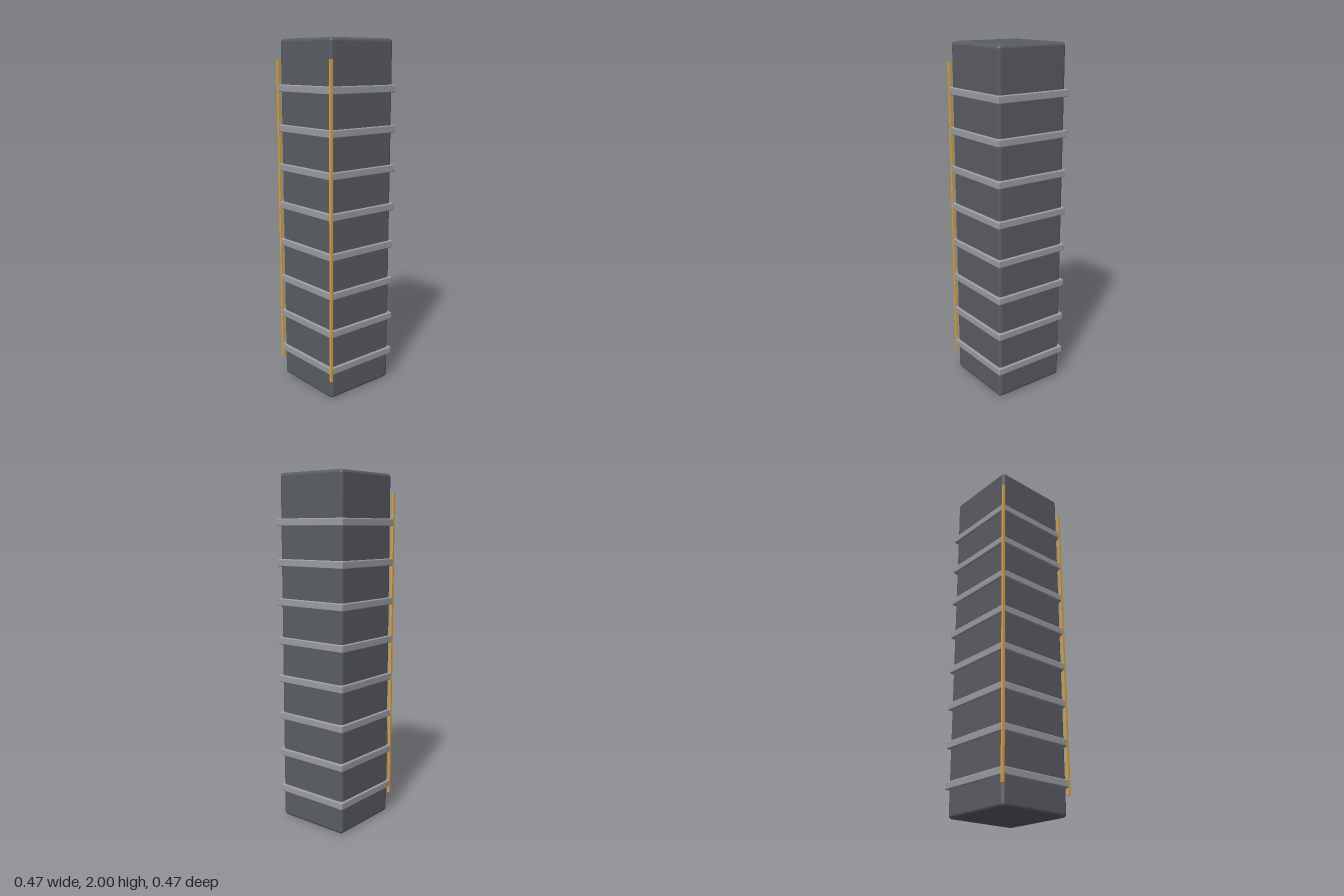
import * as THREE from 'three';
import { RoundedBoxGeometry } from 'three/addons/geometries/RoundedBoxGeometry.js';

const paint = (color) => new THREE.MeshStandardMaterial({ color });

export function createModel() {
  const model = new THREE.Group();
  model.name = 'bandedTower';

  const add = (name, geometry, material, x, y, z) => {
    const mesh = new THREE.Mesh(geometry, material);
    mesh.name = name;
    mesh.position.set(x, y, z);
    model.add(mesh);
  };

  // Tall square body with softly rounded edges
  add('body', new RoundedBoxGeometry(0.444, 2, 0.444, 4, 0.02), paint(0x5a5d64), 0, 1, 0);

  // Eight evenly spaced bands around the body
  const bandGeometry = new RoundedBoxGeometry(0.471, 0.042, 0.471, 3, 0.006);
  const bandMaterial = paint(0x9a9da3);
  for (let i = 0; i < 8; i++) {
    add(`band${i + 1}`, bandGeometry, bandMaterial, 0, 0.175 + i * 0.2225, 0);
  }

  // Thin gold strips standing at the two front corners
  const stripGeometry = new THREE.BoxGeometry(0.014, 1.775, 0.014);
  const stripMaterial = paint(0xd9a441);
  for (const side of [-1, 1]) {
    add(side > 0 ? 'leftStrip' : 'rightStrip', stripGeometry, stripMaterial, side * 0.229, 1.0025, 0.229);
  }

  return model;
}
